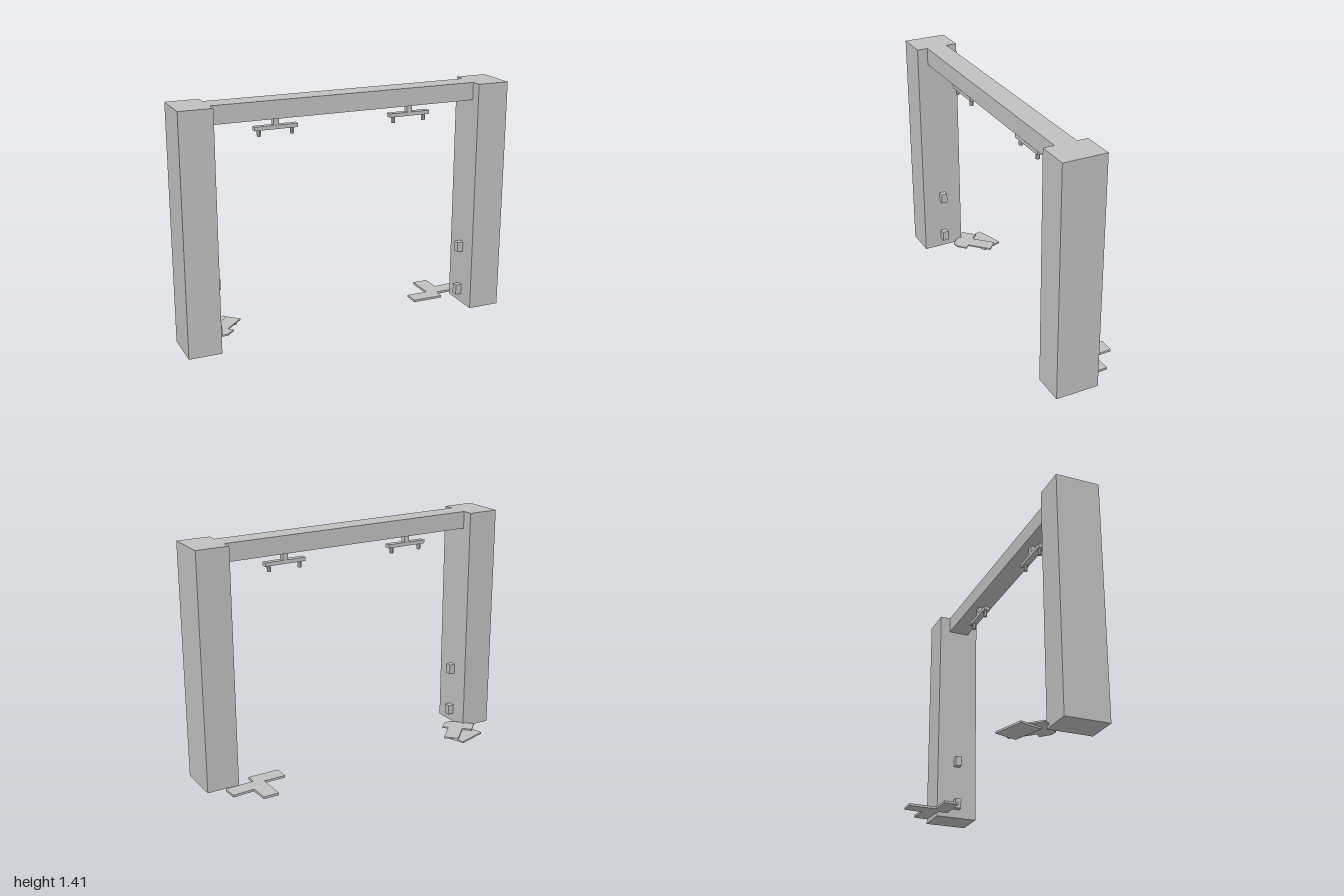
import * as THREE from 'three';

export function createModel() {
  const model = new THREE.Group();
  model.name = 'gantryGate';
  const grey = new THREE.MeshStandardMaterial({ color: 0xc0c0c0 });
  grey.name = 'lightGrey';

  const add = (name, geometry, parent = model) => {
    const mesh = new THREE.Mesh(geometry, grey);
    mesh.name = name;
    parent.add(mesh);
    return mesh;
  };
  // Box given by its lower and upper limits on each axis
  const box = (name, [x0, x1], [y0, y1], [z0, z1], parent) =>
    add(name, new THREE.BoxGeometry(x1 - x0, y1 - y0, z1 - z0), parent)
      .position.set((x0 + x1) / 2, (y0 + y1) / 2, (z0 + z1) / 2);
  // Flat board from an outline of [x, z] points
  const board = (name, outline, y, thickness) => {
    const shape = new THREE.Shape(outline.map(([x, z]) => new THREE.Vector2(x, -z)));
    const geometry = new THREE.ExtrudeGeometry(shape, { depth: thickness, bevelEnabled: false });
    add(name, geometry.rotateX(-Math.PI / 2)).position.y = y;
  };

  // Crossbeam between the pillars
  box('crossbeam', [-0.805, 0.805], [1.31, 1.415], [0.05, 0.18]);

  for (const [label, s] of [['left', 1], ['right', -1]]) {
    const span = (a, b) => (s > 0 ? [a, b] : [-b, -a]);

    // Pillar with two small blocks on its inner face
    box(label + 'Pillar', span(0.805, 1), [0, 1.415], [-0.015, 0.245]);
    box(label + 'UpperBlock', span(0.767, 0.805), [0.34, 0.402], [0.095, 0.133]);
    box(label + 'LowerBlock', span(0.767, 0.805), [0.055, 0.118], [0.095, 0.133]);

    // Hanging bracket: stem, bar and two pegs
    const bracket = new THREE.Group();
    bracket.name = label + 'Bracket';
    bracket.position.set(s * 0.413, 0, 0.112);
    model.add(bracket);
    box('stem', [-0.016, 0.016], [1.261, 1.31], [-0.017, 0.017], bracket);
    box('bar', [-0.128, 0.128], [1.24, 1.262], [-0.019, 0.019], bracket);
    for (const x of [-0.098, 0.098]) {
      const peg = new THREE.CylinderGeometry(0.012, 0.012, 0.036, 8).toNonIndexed();
      peg.computeVertexNormals();
      add('peg', peg, bracket).position.set(x, 1.222, 0);
    }
  }

  // Branching board lying behind the left pillar
  board('leftFloorBoard', [
    [0.665, -0.245], [0.76, -0.245], [0.765, -0.13], [0.897, -0.138], [0.902, -0.045],
    [0.725, -0.037], [0.725, 0.025], [0.532, 0.025], [0.532, -0.067], [0.667, -0.067],
  ], 0, 0.014);

  // Two boards stacked behind the right pillar
  board('rightLowerBoard', [
    [-0.834, -0.17], [-0.647, -0.228], [-0.604, -0.096], [-0.791, -0.037],
  ], 0.003, 0.011);
  board('rightUpperBoard', [
    [-0.64, -0.187], [-0.574, -0.125], [-0.687, -0.016], [-0.66, 0.012], [-0.71, 0.058],
    [-0.755, 0.062], [-0.866, -0.052], [-0.797, -0.12], [-0.752, -0.077],
  ], 0.0145, 0.009);

  return model;
}
